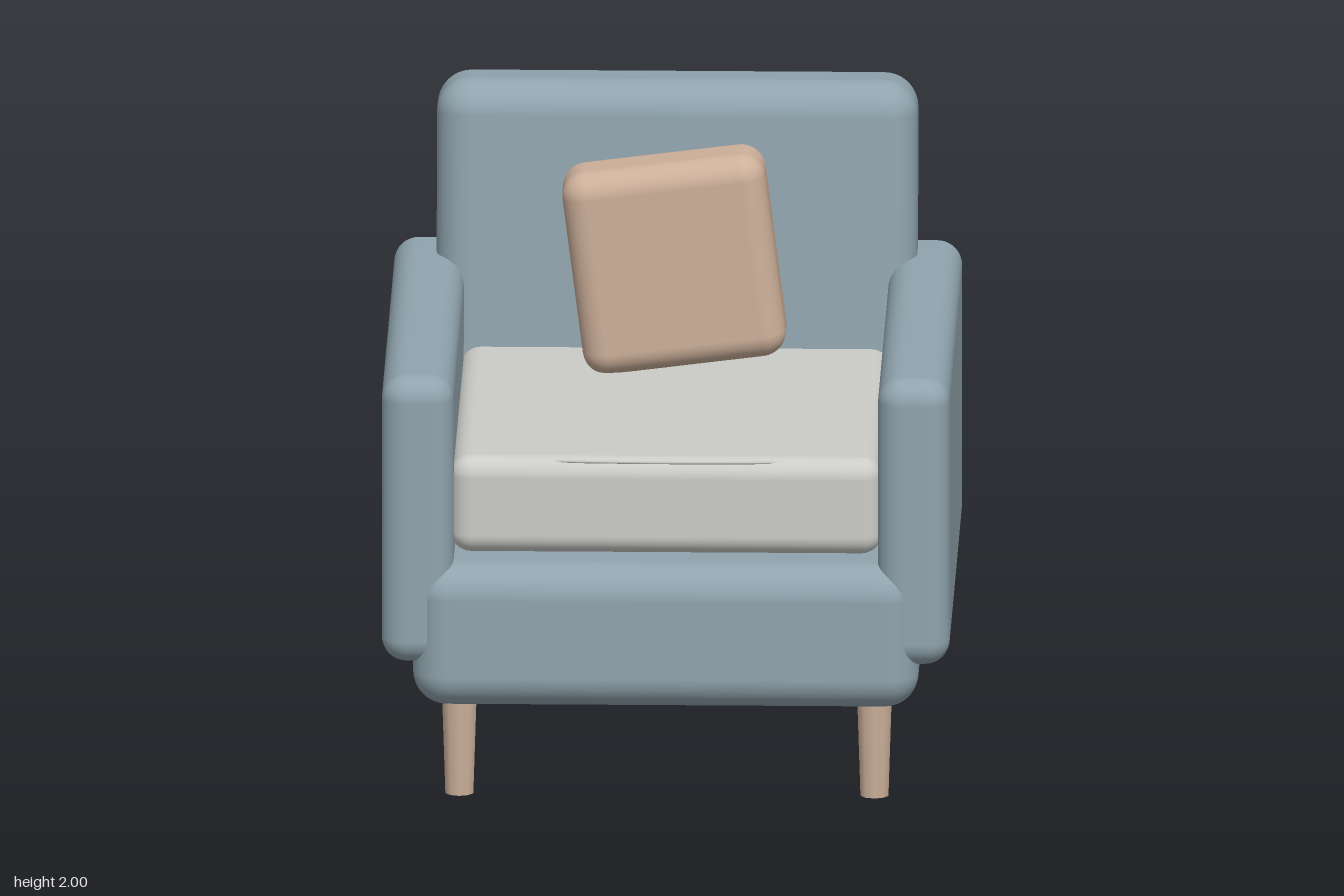
import * as THREE from 'three';
import { RoundedBoxGeometry } from 'three/addons/geometries/RoundedBoxGeometry.js';

function material(name, color) {
  const m = new THREE.MeshStandardMaterial({ color });
  m.name = name;
  return m;
}

export function createModel() {
  const fabric = material('blueGreyFabric', 0x90a4ae);
  const cream = material('lightGreyFabric', 0xcbccc7);
  const tan = material('tan', 0xcdb09a);

  const group = new THREE.Group();
  group.name = 'armchair';

  const add = (name, geometry, mat, x, y, z) => {
    const mesh = new THREE.Mesh(geometry, mat);
    mesh.name = name;
    mesh.position.set(x, y, z);
    group.add(mesh);
    return mesh;
  };
  const softBox = (name, mat, [w, h, d], radius, [x, y, z]) =>
    add(name, new RoundedBoxGeometry(w, h, d, 5, radius), mat, x, y, z);

  // Upholstered base
  softBox('base', fabric, [1.62, 0.475, 1.84], 0.11, [0, 0.573, 0]);

  // Backrest, leaning slightly backwards
  const back = softBox('backrest', fabric, [1.54, 1.16, 0.33], 0.11, [0, 1.415, -0.715]);
  back.rotation.x = -0.087;

  // Seat cushion with a curved seam along its front edge
  softBox('seatCushion', cream, [1.38, 0.32, 1.63], 0.065, [0, 0.99, 0.015]);
  const seam = new THREE.QuadraticBezierCurve3(
    new THREE.Vector3(-0.45, 1.132, 0.775),
    new THREE.Vector3(0, 1.156, 0.895),
    new THREE.Vector3(0.45, 1.132, 0.775)
  );
  add('cushionSeam', new THREE.TubeGeometry(seam, 24, 0.005, 6), cream, 0, 0, 0);

  // Throw pillow, tilted sideways
  const pillow = softBox('throwPillow', tan, [0.655, 0.675, 0.26], 0.08, [0, 1.505, -0.31]);
  pillow.rotation.z = 0.127;

  // Arms and tapered legs on both sides
  for (const [side, sx] of [['left', 1], ['right', -1]]) {
    softBox(side + 'Arm', fabric, [0.23, 0.95, 1.8], 0.08, [sx * 0.795, 0.955, 0]);
    for (const [end, sz] of [['Front', 1], ['Back', -1]]) {
      add(side + end + 'Leg', new THREE.CylinderGeometry(0.059, 0.047, 0.36, 10), tan,
        sx * 0.665, 0.18, sz * 0.67);
    }
  }
  return group;
}
